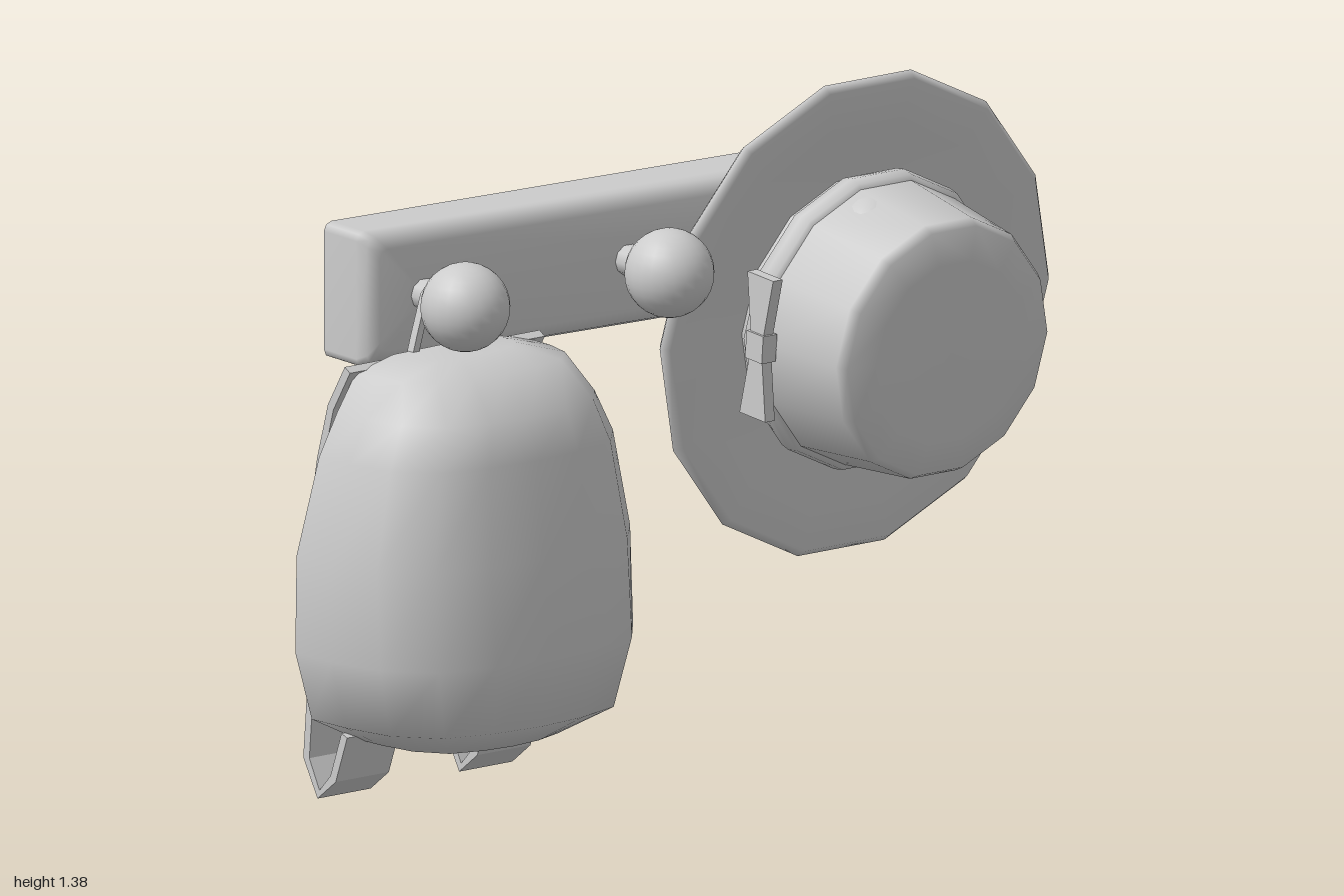
import * as THREE from 'three';

const material = new THREE.MeshStandardMaterial({ color: 0xcccccc, side: THREE.DoubleSide });

function add(parent, name, geometry, x = 0, y = 0, z = 0) {
  const mesh = new THREE.Mesh(geometry, material);
  mesh.name = name;
  mesh.position.set(x, y, z);
  parent.add(mesh);
  return mesh;
}

// Skin a list of cross-sections, each an equally long list of [x, y, z]
function loft(rings, closed) {
  const n = rings[0].length, index = [];
  for (let i = 0; i < rings.length - 1; i++) {
    for (let j = 0; j < (closed ? n : n - 1); j++) {
      const k = (j + 1) % n;
      const a = i * n + j, b = i * n + k, c = a + n, d = b + n;
      index.push(a, b, c, b, d, c);
    }
  }
  const geometry = new THREE.BufferGeometry();
  geometry.setAttribute('position', new THREE.Float32BufferAttribute(rings.flat(2), 3));
  geometry.setIndex(index);
  geometry.computeVertexNormals();
  return geometry;
}

// Flat band of given thickness following a 2D path, extruded to its width
function ribbon(path, thickness, width) {
  const side = (s) => path.map(([x, y], i) => {
    const p = path[Math.max(i - 1, 0)], q = path[Math.min(i + 1, path.length - 1)];
    const dx = q[0] - p[0], dy = q[1] - p[1], l = Math.hypot(dx, dy);
    return new THREE.Vector2(x - (s * dy / l) * thickness / 2, y + (s * dx / l) * thickness / 2);
  });
  const shape = new THREE.Shape([...side(1), ...side(-1).reverse()]);
  return new THREE.ExtrudeGeometry(shape, { depth: width, bevelEnabled: false }).translate(0, 0, -width / 2);
}

// Rounded rectangle in the y-z plane at depth x
function roundedRing(x, halfY, halfZ, r) {
  const ring = [];
  [[1, 1], [-1, 1], [-1, -1], [1, -1]].forEach(([sy, sz], corner) => {
    for (let k = 0; k < 3; k++) {
      const a = (corner + k / 2) * Math.PI / 2;
      ring.push([x, sy * (halfY - r) + r * Math.cos(a), sz * (halfZ - r) + r * Math.sin(a)]);
    }
  });
  return ring;
}

function createRack() {
  const rack = new THREE.Group();
  rack.name = 'coatRack';
  rack.position.set(-0.245, 1.067, 0.1);
  rack.rotation.y = -0.062;
  // Hollow board, open towards the wall
  add(rack, 'board', loft([
    roundedRing(0, 0.147, 0.68, 0.02),
    roundedRing(0.115, 0.147, 0.68, 0.02),
    roundedRing(0.14, 0.137, 0.67, 0.02),
    roundedRing(0.152, 0.11, 0.645, 0.02),
    roundedRing(0.152, 0, 0.53, 0),
  ], true));
  // Three pegs with round knobs
  for (const z of [-0.53, 0, 0.53]) {
    add(rack, 'peg', new THREE.CylinderGeometry(0.034, 0.034, 0.16, 10).rotateZ(Math.PI / 2), 0.215, 0, z);
    add(rack, 'knob', new THREE.SphereGeometry(0.095, 24, 16), 0.298, 0, z);
  }
  return rack;
}

function createBackpack() {
  const pack = new THREE.Group();
  pack.name = 'backpack';
  pack.position.z = 0.625;
  // Rows: height, back x, front x, half width
  const rows = [
    [0.967, -0.075, -0.075, 0], [0.965, -0.075, 0.04, 0.14], [0.94, -0.078, 0.13, 0.24],
    [0.86, -0.085, 0.21, 0.285], [0.77, -0.09, 0.23, 0.33], [0.56, -0.11, 0.252, 0.375],
    [0.35, -0.114, 0.27, 0.375], [0.2, -0.114, 0.245, 0.33], [0.14, -0.112, 0.15, 0.21],
    [0.123, -0.11, 0.02, 0.11], [0.12, -0.11, -0.11, 0],
  ];
  const half = [[0, 1], [0.3, 0.99], [0.63, 0.92], [0.88, 0.7], [0.97, 0.36]];
  const section = [...half, [1, 0], ...half.map(([u, w]) => [u, -w]).reverse()];
  add(pack, 'bag', loft(rows.map(([y, b, f, h]) => section.map(([u, w]) => [b + (f - b) * u, y, h * w])), false));
  add(pack, 'backPanel', loft(rows.map(([y, b, , h]) => [[b, y, -h], [b, y, h]]), false));
  // Shoulder straps
  const path = [[-0.075, 0.95], [-0.13, 0.86], [-0.165, 0.74], [-0.18, 0.66], [-0.192, 0.3],
    [-0.21, 0.09], [-0.17, 0.018], [-0.122, 0.06], [-0.085, 0.16]];
  for (const s of [-1, 1]) add(pack, 'shoulderStrap', ribbon(path, 0.02, 0.145), 0, 0, s * 0.193);
  // Loop hanging over the peg
  const loop = [[-0.1, 0.93], [-0.08, 1.0], [-0.055, 1.08], [-0.025, 1.113],
    [0.025, 1.113], [0.055, 1.08], [0.08, 1.0], [0.1, 0.93]];
  add(pack, 'hangingLoop', ribbon(loop, 0.016, 0.02).rotateY(Math.PI / 2), -0.07, 0, 0);
  return pack;
}

function createHat() {
  const hat = new THREE.Group();
  hat.name = 'hat';
  hat.position.set(-0.045, 0.875, -0.466);
  hat.rotation.z = -0.085;
  // Profiles are [radius, distance along the hat's axis]
  const turn = (name, points) => add(hat, name,
    new THREE.LatheGeometry(points.map(([r, h]) => new THREE.Vector2(r, h)), 14).rotateZ(-Math.PI / 2));
  turn('crown', [[0.305, -0.02], [0.312, 0.06], [0.285, 0.285], [0.272, 0.308], [0.2, 0.317], [0, 0.32]]);
  turn('brim', [[0.3, -0.035], [0.42, -0.028], [0.515, -0.018], [0.53, 0], [0.515, 0.018],
    [0.42, 0.008], [0.3, 0]]);
  turn('innerBand', [[0.3, -0.035], [0.29, -0.03], [0.29, 0.06], [0.3, 0.06]]);
  turn('hatBand', [[0.305, 0.02], [0.322, 0.025], [0.327, 0.05], [0.322, 0.075], [0.305, 0.08]]);
  // Bow with wings that narrow towards the knot
  const bow = new THREE.Group();
  bow.name = 'bow';
  bow.position.set(0.085, 0, 0.324);
  hat.add(bow);
  for (const s of [-1, 1]) {
    const wing = new THREE.BoxGeometry(0.085, 0.14, 0.026);
    const p = wing.attributes.position;
    for (let i = 0; i < p.count; i++) if (p.getY(i) * s < 0) p.setX(i, p.getX(i) * 0.45);
    wing.computeVertexNormals();
    add(bow, 'bowWing', wing, 0, s * 0.085, 0);
  }
  add(bow, 'bowKnot', new THREE.BoxGeometry(0.055, 0.06, 0.038));
  return hat;
}

export function createModel() {
  const model = new THREE.Group();
  model.name = 'coatRackWithBackpackAndHat';
  model.add(createRack(), createBackpack(), createHat());
  return model;
}
